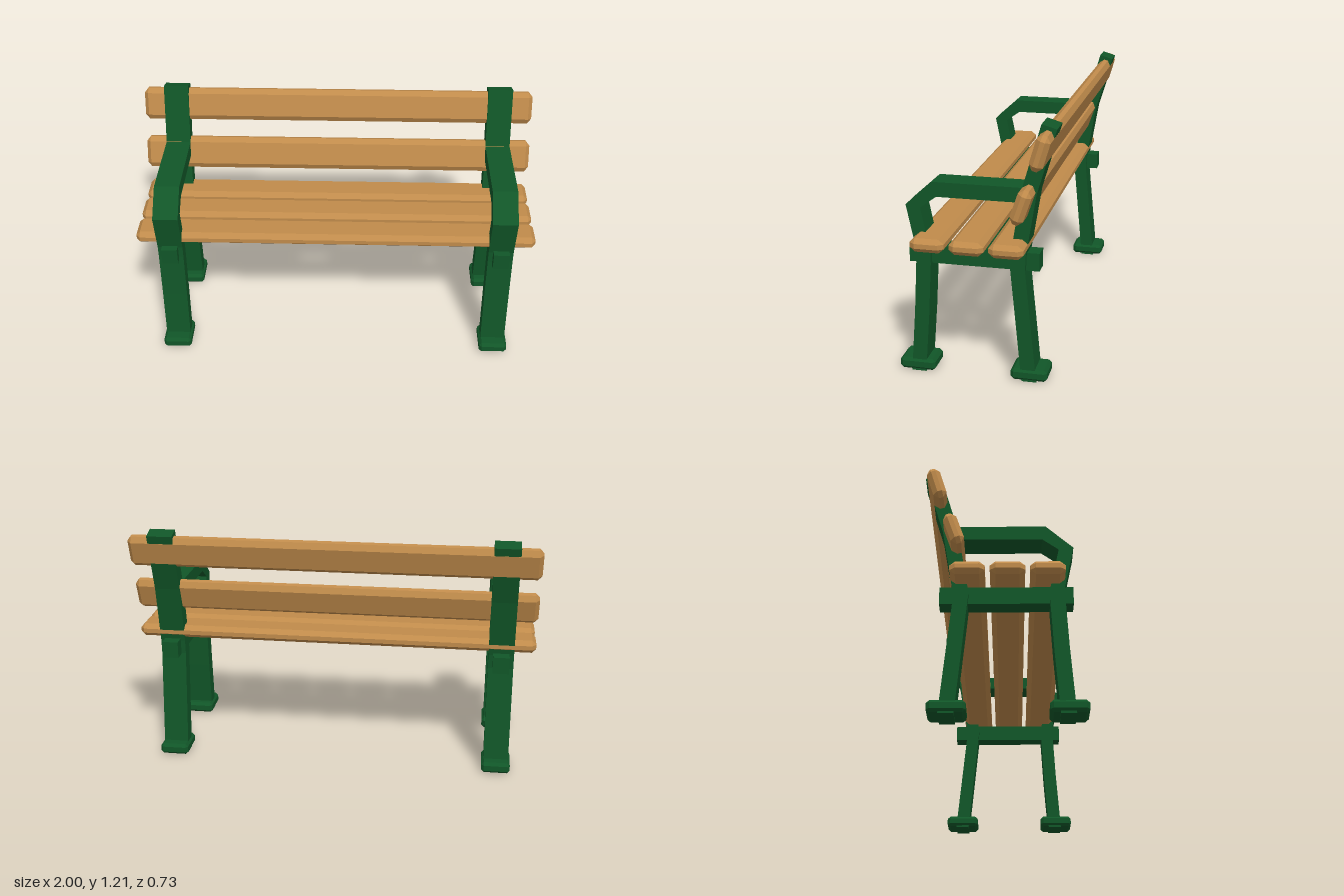
import * as THREE from 'three';
import { ConvexGeometry } from 'three/addons/geometries/ConvexGeometry.js';

const green = new THREE.MeshStandardMaterial({ color: 0x115628 });
green.name = 'green iron';
const wood = new THREE.MeshStandardMaterial({ color: 0xc08b4b });
wood.name = 'warm wood';

// Box with one flat chamfer on every edge
function chamferBox(w, h, d, bx, by, bz) {
  const points = [];
  for (const sx of [-1, 1]) for (const sy of [-1, 1]) for (const sz of [-1, 1]) {
    const x = w / 2, y = h / 2, z = d / 2;
    points.push(
      new THREE.Vector3(sx * x, sy * (y - by), sz * (z - bz)),
      new THREE.Vector3(sx * (x - bx), sy * y, sz * (z - bz)),
      new THREE.Vector3(sx * (x - bx), sy * (y - by), sz * z));
  }
  return new ConvexGeometry(points);
}

// Flat casting from a side outline given as [z, y], centred on x = 0
function casting(outline, width) {
  const shape = new THREE.Shape(outline.map(([z, y]) => new THREE.Vector2(z, y)));
  const geometry = new THREE.ExtrudeGeometry(shape, { depth: width, bevelEnabled: false });
  geometry.translate(0, 0, -width / 2);
  geometry.rotateY(-Math.PI / 2);
  return geometry;
}

function add(parent, name, geometry, material, x = 0, y = 0, z = 0) {
  const mesh = new THREE.Mesh(geometry, material);
  mesh.name = name;
  mesh.position.set(x, y, z);
  parent.add(mesh);
  return mesh;
}

export function createModel() {
  const bench = new THREE.Group();
  bench.name = 'parkBench';

  // Front leg, rising into the bent armrest
  const frontLeg = casting([
    [0.243, 0], [0.221, 0.29], [0.207, 0.54], [0.208, 0.6], [0.227, 0.69], [0.25, 0.803],
    [0.175, 0.858], [-0.23, 0.858], [-0.24, 0.926], [0.193, 0.926], [0.317, 0.813],
    [0.275, 0.61], [0.275, 0.55], [0.288, 0.31], [0.311, 0],
  ], 0.125);

  // Back leg, leaning back into the backrest post
  const backLeg = casting([
    [-0.28, 0], [-0.227, 0.54], [-0.23, 0.61], [-0.278, 0.9], [-0.365, 1.193],
    [-0.297, 1.213], [-0.212, 0.92], [-0.164, 0.63], [-0.156, 0.58], [-0.161, 0.53], [-0.211, 0],
  ], 0.125);

  const rail = new THREE.BoxGeometry(0.08, 0.084, 0.601);
  const foot = chamferBox(0.143, 0.056, 0.17, 0.013, 0.014, 0.015);

  // Matching iron frames on both sides
  for (const [side, x] of [['left', 0.832], ['right', -0.832]]) {
    const frame = new THREE.Group();
    frame.name = side + 'Frame';
    frame.position.x = x;
    add(frame, 'frontLegAndArmrest', frontLeg, green);
    add(frame, 'backLegAndPost', backLeg, green);
    add(frame, 'seatRail', rail, green, 0, 0.578, 0.0125);
    add(frame, 'frontFoot', foot, green, 0, 0.034, 0.283);
    add(frame, 'backFoot', foot, green, 0, 0.034, -0.245);
    bench.add(frame);
  }

  // Seat slats
  const seatSlat = chamferBox(2, 0.064, 0.157, 0.02, 0.021, 0.025);
  [0.197, 0.018, -0.161].forEach((z, i) => add(bench, 'seatSlat' + (i + 1), seatSlat, wood, 0, 0.658, z));

  // Leaning backrest slats
  const backSlat = chamferBox(2, 0.164, 0.063, 0.02, 0.025, 0.021);
  [[0.863, -0.225, -0.33], [1.107, -0.307, -0.29]].forEach(([y, z, lean], i) => {
    add(bench, 'backSlat' + (i + 1), backSlat, wood, 0, y, z).rotation.x = lean;
  });

  return bench;
}
